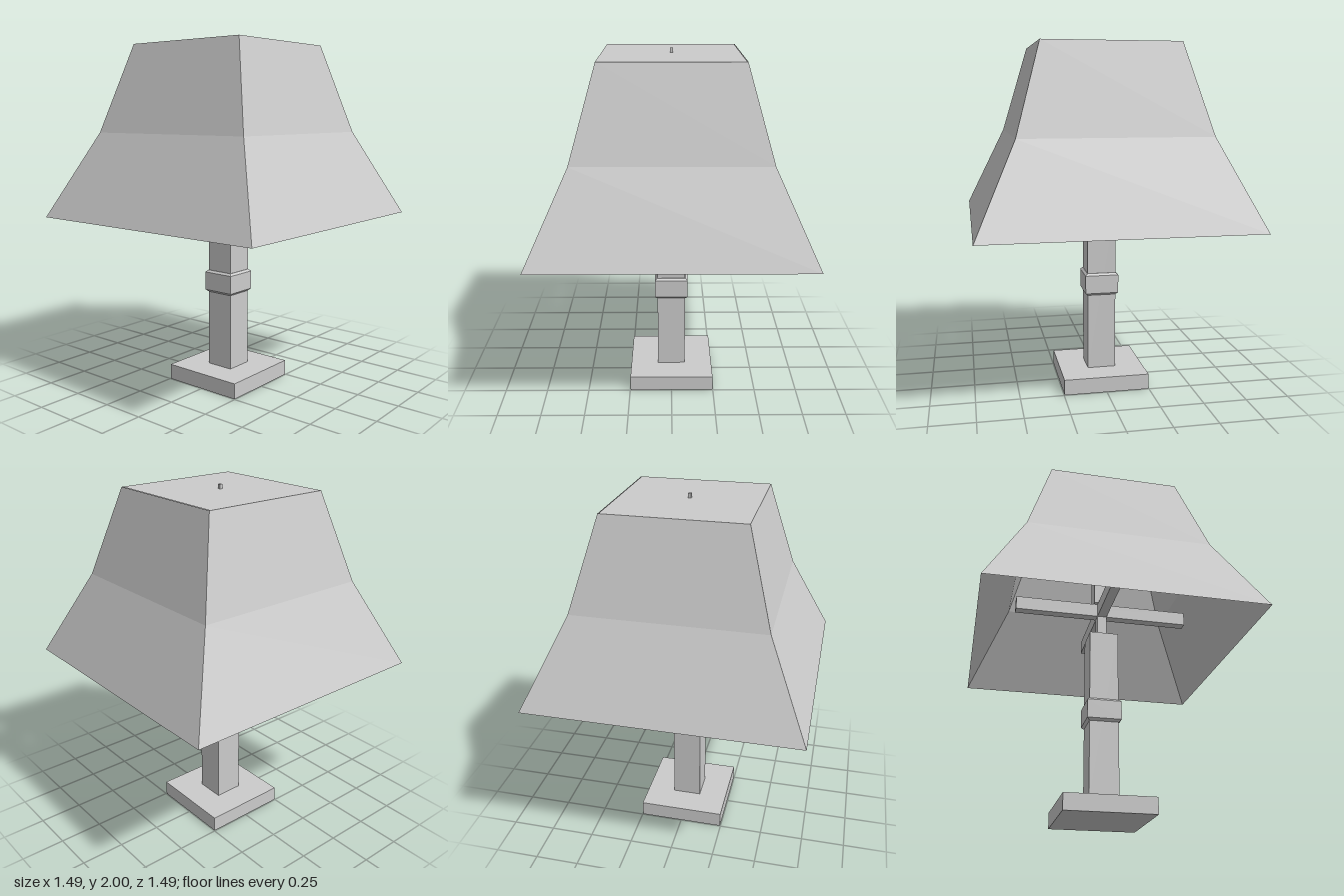
import * as THREE from 'three';

const grey = new THREE.MeshStandardMaterial({ color: 0xcccccc, flatShading: true });
const thin = new THREE.MeshStandardMaterial({ color: 0xcccccc, flatShading: true, side: THREE.DoubleSide });

export function createModel() {
  const lamp = new THREE.Group();
  lamp.name = 'tableLamp';

  const add = (name, geometry, material = grey) => {
    const mesh = new THREE.Mesh(geometry, material);
    mesh.name = name;
    lamp.add(mesh);
    return mesh;
  };

  // Box standing between two heights, centred on the lamp axis
  const block = (name, width, y0, y1, depth = width) => {
    const mesh = add(name, new THREE.BoxGeometry(width, y1 - y0, depth));
    mesh.position.y = (y0 + y1) / 2;
    return mesh;
  };

  // Square solid or shell from [half width, height] pairs, bottom to top
  const squareLathe = (name, profile, material) => {
    const points = profile.map(([h, y]) => new THREE.Vector2(h * Math.SQRT2, y));
    const geometry = new THREE.LatheGeometry(points, 4, Math.PI / 4).toNonIndexed();
    geometry.computeVertexNormals();
    return add(name, geometry, material);
  };

  // Foot, column and chamfered collar
  block('base', 0.494, 0, 0.09);
  block('column', 0.165, 0.09, 1.08);
  squareLathe('collar', [[0.082, 0.535], [0.097, 0.549], [0.097, 0.655], [0.085, 0.667], [0.082, 0.667]], grey);

  // Stem, cross-shaped shade support and socket
  block('stem', 0.056, 1.08, 1.3);
  block('supportArmX', 1.03, 1.215, 1.295, 0.055);
  block('supportArmZ', 0.055, 1.215, 1.295, 1.03);
  block('socket', 0.1, 1.295, 1.62);
  block('finialRod', 0.016, 1.62, 2.0);

  // Flared square shade, open below
  squareLathe('shade', [[0.745, 0.997], [0.52, 1.48], [0.378, 1.975]], thin);

  // Top panel, leaving a narrow slit at the back
  const panel = add('shadeTop', new THREE.PlaneGeometry(0.756, 0.751), thin);
  panel.rotation.x = -Math.PI / 2;
  panel.position.set(0, 1.975, 0.0025);

  return lamp;
}
